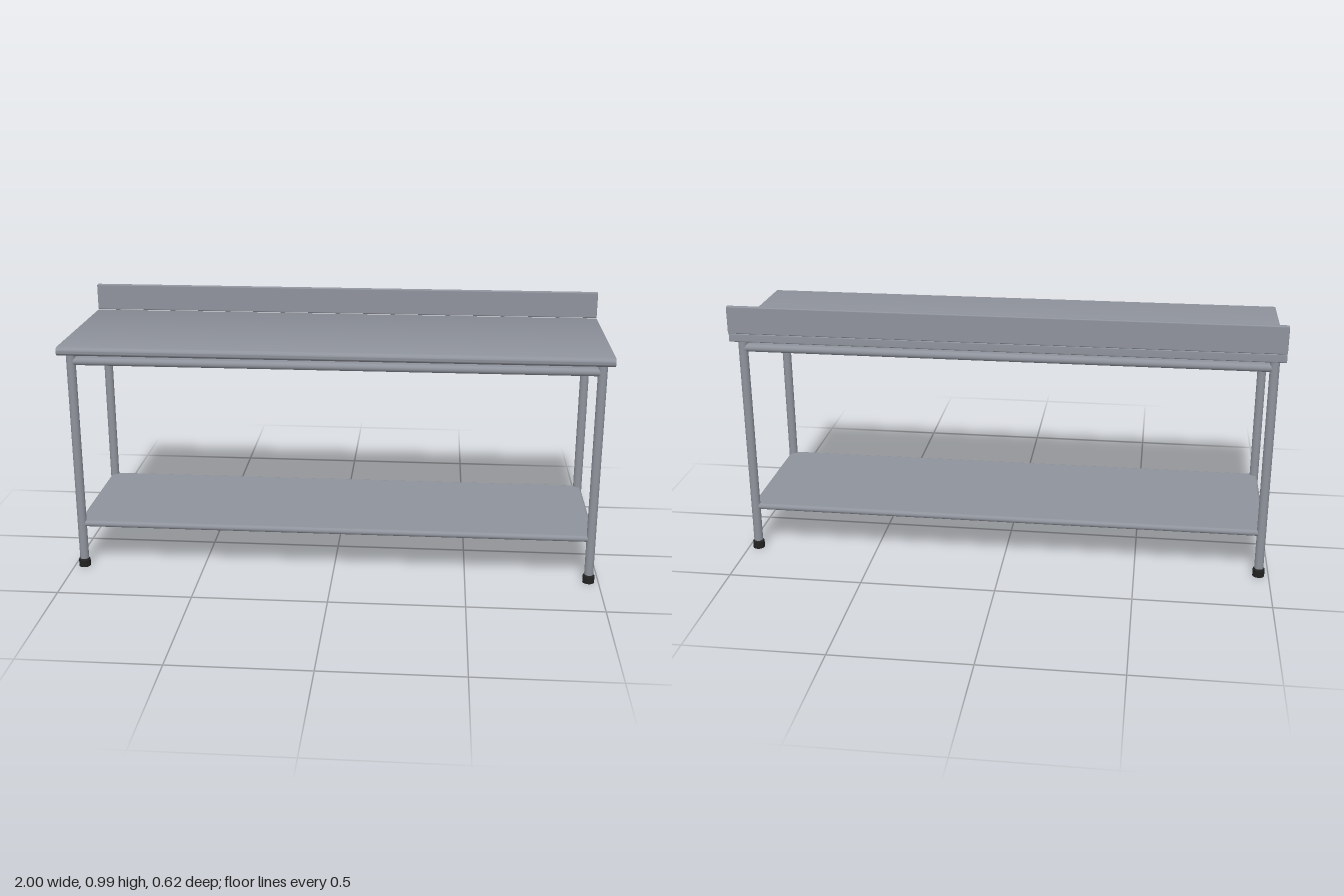
import * as THREE from 'three';
import { toCreasedNormals } from 'three/addons/utils/BufferGeometryUtils.js';
import { RoundedBoxGeometry } from 'three/addons/geometries/RoundedBoxGeometry.js';

const LEG_X = 0.963, FRONT_Z = 0.254, BACK_Z = -0.26;
const MID_Z = (FRONT_Z + BACK_Z) / 2, SPAN_Z = FRONT_Z - BACK_Z;

export function createModel() {
  const steel = new THREE.MeshStandardMaterial({ color: 0x8f939c });
  steel.name = 'brushed steel';
  const rubber = new THREE.MeshStandardMaterial({ color: 0x222222 });
  rubber.name = 'black rubber';

  const model = new THREE.Group();
  model.name = 'workTable';
  const add = (parent, name, geometry, material, x, y, z) => {
    const mesh = new THREE.Mesh(geometry, material);
    mesh.name = name;
    mesh.position.set(x, y, z);
    parent.add(mesh);
    return mesh;
  };

  // Table top: one cross-section with a rounded front nose, swept along x
  const bottom = 0.851, top = 0.883, r = (top - bottom) / 2, back = 0.3, c = 0.004;
  const profile = new THREE.Shape();
  profile.moveTo(back - c, bottom);
  profile.quadraticCurveTo(back, bottom, back, bottom + c);
  profile.lineTo(back, top - c);
  profile.quadraticCurveTo(back, top, back - c, top);
  profile.lineTo(-0.296, top);
  profile.absarc(-0.296, bottom + r, r, Math.PI / 2, Math.PI * 1.5, false);
  profile.closePath();
  const topGeometry = new THREE.ExtrudeGeometry(profile, { depth: 2, bevelEnabled: false, curveSegments: 10 });
  topGeometry.rotateY(Math.PI / 2).translate(-1, 0, 0);
  add(model, 'tableTop', toCreasedNormals(topGeometry, 0.7), steel, 0, 0, 0);

  // Upright splash board along the back edge
  add(model, 'splashBoard', new RoundedBoxGeometry(2, 0.102, 0.018, 3, 0.004), steel, 0, 0.936, -0.301);

  // Panel edged by four round tubes, spanning the leg centres
  const framedPanel = (name, y, radius) => {
    const frame = new THREE.Group();
    frame.name = name;
    add(frame, 'panel', new THREE.BoxGeometry(LEG_X * 2, radius * 1.96, SPAN_Z), steel, 0, y, MID_Z);
    for (const z of [FRONT_Z, BACK_Z]) {
      const tube = new THREE.CylinderGeometry(radius, radius, LEG_X * 2, 16);
      add(frame, 'longRail', tube.rotateZ(Math.PI / 2), steel, 0, y, z);
    }
    for (const x of [-LEG_X, LEG_X]) {
      const tube = new THREE.CylinderGeometry(radius, radius, SPAN_Z, 16);
      add(frame, 'endRail', tube.rotateX(Math.PI / 2), steel, x, y, MID_Z);
    }
    model.add(frame);
  };
  framedPanel('upperFrame', 0.8185, 0.0145);
  framedPanel('lowerShelf', 0.176, 0.012);

  // Round legs on rubber feet
  const footProfile = [[0, 0], [0.022, 0], [0.022, 0.027], [0.018, 0.032], [0, 0.032]]
    .map(([x, y]) => new THREE.Vector2(x, y));
  const footGeometry = toCreasedNormals(new THREE.LatheGeometry(footProfile, 24), 0.6);
  const legGeometry = new THREE.CylinderGeometry(0.017, 0.017, 0.823, 24);
  for (const x of [-LEG_X, LEG_X]) {
    for (const z of [FRONT_Z, BACK_Z]) {
      add(model, 'leg', legGeometry, steel, x, 0.4405, z);
      add(model, 'foot', footGeometry, rubber, x, 0, z);
    }
  }
  return model;
}
